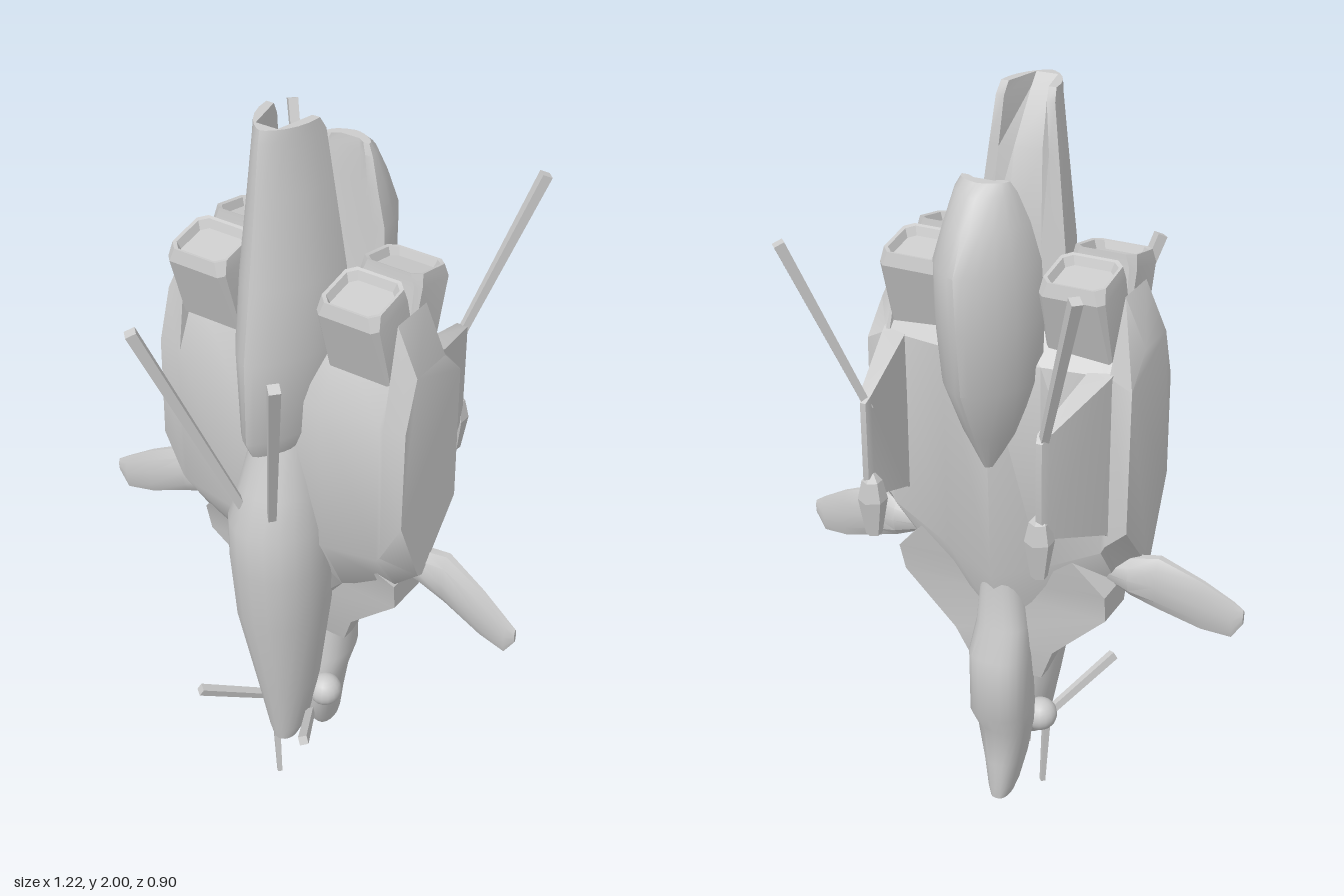
import * as THREE from 'three';
import { toCreasedNormals } from 'three/addons/utils/BufferGeometryUtils.js';

const material = new THREE.MeshStandardMaterial({ color: 0xcccccc });

// Skin a series of closed 2D sections; place(u, v, t) puts each point in space (u x v = -t)
function loft(sections, place, crease = 0.6) {
  const n = sections[0].pts.length;
  const pos = [];
  const idx = [];
  const rings = sections.map(({ t, pts }) => {
    const ring = pts.map(([u, v]) => new THREE.Vector2(u, v));
    if (THREE.ShapeUtils.area(ring) < 0) ring.reverse();
    ring.forEach((p) => pos.push(...place(p.x, p.y, t)));
    return ring;
  });
  for (let s = 0; s < rings.length - 1; s++) {
    for (let i = 0; i < n; i++) {
      const a = s * n + i, b = s * n + (i + 1) % n;
      idx.push(a, a + n, b, b, a + n, b + n);
    }
  }
  const last = (rings.length - 1) * n;
  for (const [a, b, c] of THREE.ShapeUtils.triangulateShape(rings[0], [])) idx.push(a, b, c);
  for (const [a, b, c] of THREE.ShapeUtils.triangulateShape(rings.at(-1), [])) idx.push(last + a, last + c, last + b);
  const geo = new THREE.BufferGeometry();
  geo.setAttribute('position', new THREE.Float32BufferAttribute(pos, 3));
  geo.setIndex(idx);
  return toCreasedNormals(geo.toNonIndexed(), crease);
}

const alongY = (x, z, y) => [x, y, z];
const alongX = (z, y, x) => [x, y, z];
const alongBack = (x, y, t) => [x, y, -t];

// Rounded section between given limits; power below 1 makes it boxier
function oval(u0, u1, v0, v1, power = 0.8, n = 20) {
  const bend = (k) => Math.sign(k) * Math.abs(k) ** power;
  return Array.from({ length: n }, (_, i) => {
    const a = (i / n) * Math.PI * 2;
    return [(u0 + u1) / 2 + bend(Math.cos(a)) * (u1 - u0) / 2, (v0 + v1) / 2 + bend(Math.sin(a)) * (v1 - v0) / 2];
  });
}
const rect = (u0, u1, v0, v1) => [[u0, v0], [u1, v0], [u1, v1], [u0, v1]];

// Symmetric hull from rows of [y, half width, front z, back z]
const hull = (rows, power) => loft(rows.map(([t, w, zf, zb]) => ({ t, pts: oval(-w, w, zb, zf, power) })), alongY);

// Arched shell from rows of [y, half width, arch z, flat z, groove z]; the groove runs down the flat side
function archGeometry(rows) {
  return loft(rows.map(([t, w, zArch, zFlat, groove]) => {
    const pts = [];
    for (let i = 0; i <= 12; i++) {
      const a = (i / 12) * Math.PI, c = Math.cos(a);
      pts.push([w * Math.sign(c) * Math.abs(c) ** 1.4, zFlat + (zArch - zFlat) * Math.sin(a)]);
    }
    pts.push([-0.72 * w, zFlat], [-0.4 * w, groove], [0.4 * w, groove], [0.72 * w, zFlat]);
    return { t, pts };
  }), alongY);
}

function mesh(name, geo) {
  const m = new THREE.Mesh(geo, material);
  m.name = name;
  return m;
}

// Four-sided tapering rod between two points
function rod(name, from, to, r0, r1) {
  const a = new THREE.Vector3(...from), b = new THREE.Vector3(...to);
  const geo = new THREE.CylinderGeometry(r1, r0, a.distanceTo(b), 4).toNonIndexed();
  geo.computeVertexNormals();
  const m = mesh(name, geo);
  m.position.copy(a).add(b).multiplyScalar(0.5);
  m.quaternion.setFromUnitVectors(new THREE.Vector3(0, 1, 0), b.sub(a).normalize());
  return m;
}

// Thruster box with bevelled corners and a shallow dished mouth
function thrusterGeometry() {
  const ring = (t, x0, x1, z0, z1, c) => ({
    t, pts: [[x0, z0 + c], [x0 + c, z0], [x1 - c, z0], [x1, z0 + c], [x1, z1 - c], [x1 - c, z1], [x0 + c, z1], [x0, z1 - c]],
  });
  return loft([
    ring(1.42, 0.125, 0.29, 0.0, 0.122, 0.006),
    ring(1.60, 0.125, 0.29, 0.04, 0.182, 0.014),
    ring(1.632, 0.13, 0.285, 0.043, 0.176, 0.02),
    ring(1.63, 0.138, 0.277, 0.05, 0.169, 0.018),
    ring(1.61, 0.146, 0.269, 0.057, 0.162, 0.016),
  ], (x, z, y) => [x, y - (z - 0.11) * 0.2, z], 0.5);
}

// Parts found on both sides, modelled on +x
function sideParts(name) {
  const g = new THREE.Group();
  g.name = name;

  // Stubby side wing
  const wing = [
    [0.24, 0.81, 0.85, -0.02, 0.03], [0.33, 0.775, 0.885, -0.04, 0.03], [0.4, 0.75, 0.9, -0.03, 0.03],
    [0.51, 0.71, 0.85, 0.0, 0.035], [0.585, 0.7, 0.805, 0.02, 0.04], [0.612, 0.745, 0.785, 0.027, 0.037],
  ];
  g.add(mesh('sideWing', loft(wing.map(([t, y0, y1, z0, z1]) => ({ t, pts: oval(z0, z1, y0, y1, 1, 10) })), alongX)));

  // Rear fin with its pod and long aerial
  g.add(mesh('rearFin', loft([
    { t: 0.06, pts: rect(0.24, 0.31, 0.95, 1.42) },
    { t: 0.11, pts: rect(0.24, 0.3, 0.99, 1.4) },
    { t: 0.31, pts: rect(0.215, 0.245, 1.07, 1.335) },
    { t: 0.328, pts: rect(0.22, 0.235, 1.12, 1.32) },
  ], alongBack, 0.4)));
  const pod = new THREE.LatheGeometry(
    [[0, 0.965], [0.02, 0.965], [0.036, 1.06], [0.025, 1.11], [0, 1.14]].map((p) => new THREE.Vector2(...p)), 6);
  pod.translate(0.222, 0, -0.31);
  g.add(mesh('finPod', toCreasedNormals(pod.toNonIndexed(), 0.3)));
  g.add(rod('rearAerial', [0.225, 1.3, -0.305], [0.36, 1.73, -0.435], 0.013, 0.018));

  // Front aerials and round sensor near the nose tip
  g.add(rod('frontAerial', [0.045, 1.01, 0.24], [0.195, 1.55, 0.43], 0.014, 0.019));
  g.add(rod('noseAerial', [0.06, 0.26, 0.1], [0.165, 0.365, 0.285], 0.014, 0.016));
  const ball = mesh('sensorBall', new THREE.SphereGeometry(0.045, 16, 12));
  ball.position.set(0.063, 0.295, 0.035);
  g.add(ball);

  // Front and rear thrusters
  const thruster = thrusterGeometry();
  g.add(mesh('frontThruster', thruster));
  const rear = mesh('rearThruster', thruster);
  rear.scale.z = -1;
  rear.position.z = 0.045;
  g.add(rear);
  return g;
}

export function createModel() {
  const model = new THREE.Group();
  model.name = 'spacecraft';

  // Broad main body, sections from the centre out to the flat flanks
  const half = [
    [0, [[0.12, 1.5], [-0.06, 1.5], [-0.15, 1.4], [-0.13, 0.8], [-0.03, 0.55], [0.1, 0.6], [0.15, 0.92], [0.17, 1.32]]],
    [0.13, [[0.08, 1.47], [-0.05, 1.47], [-0.12, 1.4], [-0.11, 0.85], [-0.02, 0.66], [0.06, 0.72], [0.15, 0.9], [0.16, 1.32]]],
    [0.285, [[0.08, 1.47], [-0.03, 1.47], [-0.1, 1.4], [-0.1, 0.93], [0.02, 0.77], [0.06, 0.79], [0.15, 0.93], [0.15, 1.32]]],
    [0.295, [[0.1, 1.57], [-0.02, 1.57], [-0.1, 1.4], [-0.1, 0.95], [0.02, 0.79], [0.06, 0.8], [0.15, 0.94], [0.15, 1.32]]],
    [0.35, [[0.1, 1.45], [-0.02, 1.45], [-0.095, 1.37], [-0.1, 1.0], [0.04, 0.84], [0.06, 0.85], [0.146, 1.05], [0.142, 1.32]]],
  ];
  const stations = [...half.slice(1).reverse().map(([x, p]) => [-x, p]), ...half];
  model.add(mesh('mainBody', loft(stations.map(([t, pts]) => ({ t, pts })), alongX, 0.75)));

  // Wedge under the body narrowing towards the nose
  model.add(mesh('lowerBody', loft([
    { t: 0.47, pts: rect(-0.1, 0.1, -0.04, 0.0) },
    { t: 0.57, pts: rect(-0.14, 0.14, -0.06, 0.03) },
    { t: 0.71, pts: rect(-0.285, 0.285, -0.06, 0.055) },
    { t: 0.79, pts: rect(-0.29, 0.29, -0.08, 0.07) },
    { t: 0.89, pts: rect(-0.2, 0.2, -0.1, 0.12) },
  ], alongY, 0.3)));

  // Nose and cockpit
  model.add(mesh('nose', hull([
    [0.18, 0.03, 0.165, 0.09], [0.22, 0.045, 0.175, 0.05], [0.38, 0.075, 0.205, 0.02], [0.65, 0.115, 0.262, 0],
    [0.82, 0.124, 0.276, 0], [0.95, 0.122, 0.28, 0], [1.05, 0.1, 0.245, 0], [1.19, 0.075, 0.2, 0],
  ], 0.95)));

  // Upper boom, its end scooped out towards the back
  model.add(mesh('boom', archGeometry([
    [1.18, 0.078, 0.25, 0.05, 0.055], [1.23, 0.1, 0.275, 0.03, 0.035], [1.45, 0.124, 0.275, 0.03, 0.04],
    [1.63, 0.117, 0.25, 0.035, 0.05], [1.85, 0.09, 0.22, 0.05, 0.075], [1.97, 0.075, 0.205, 0.058, 0.15], [2.0, 0.07, 0.198, 0.075, 0.172],
  ])));

  // Hump on the back
  model.add(mesh('backHump', archGeometry([
    [1.12, 0.03, -0.15, -0.08, -0.085], [1.22, 0.08, -0.205, -0.08, -0.085], [1.36, 0.12, -0.272, -0.09, -0.095],
    [1.52, 0.13, -0.29, -0.1, -0.108], [1.66, 0.125, -0.3, -0.108, -0.125], [1.75, 0.1, -0.258, -0.115, -0.135],
    [1.82, 0.075, -0.212, -0.13, -0.145], [1.845, 0.06, -0.18, -0.138, -0.15],
  ])));

  // Long pod behind the nose
  model.add(mesh('lowerPod', hull([
    [0.087, 0.025, -0.025, -0.108], [0.12, 0.035, 0.0, -0.112], [0.2, 0.05, 0.03, -0.112], [0.31, 0.07, 0.03, -0.115],
    [0.37, 0.08, 0.02, -0.147], [0.55, 0.08, 0, -0.147], [0.63, 0.07, 0, -0.112], [0.8, 0.05, 0, -0.112], [0.9, 0.02, -0.03, -0.1],
  ], 0.8)));

  // Probe and short peg at the tip
  model.add(rod('probe', [-0.042, 0.25, 0.12], [-0.03, 0, 0.12], 0.014, 0.009));
  model.add(rod('peg', [0, 0.32, 0.07], [0, 0.165, 0.068], 0.022, 0.018));

  const left = sideParts('leftParts');
  const right = sideParts('rightParts');
  right.scale.x = -1;
  model.add(left, right);
  return model;
}
